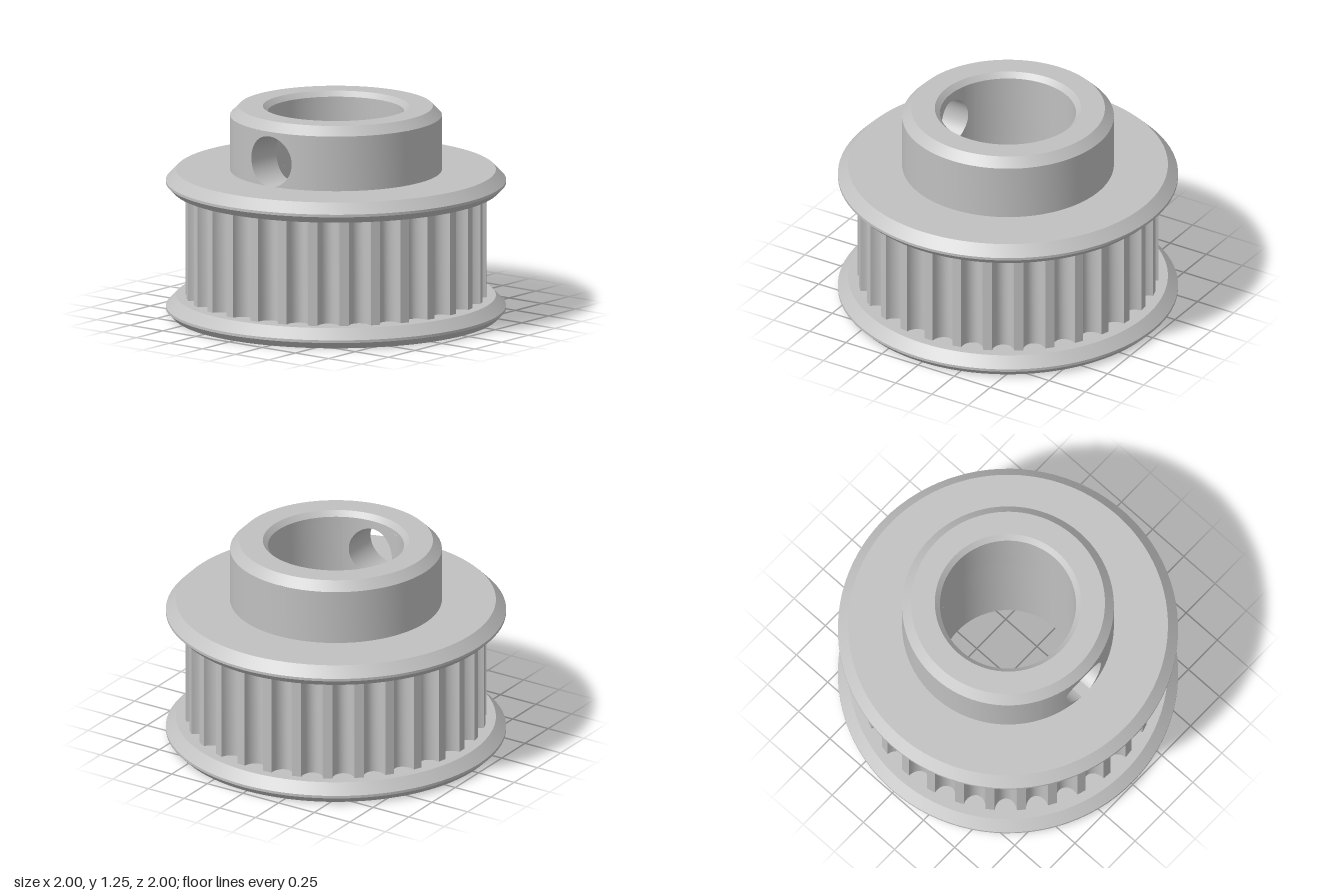
import * as THREE from 'three';
import { toCreasedNormals } from 'three/addons/utils/BufferGeometryUtils.js';
import { ParametricGeometry } from 'three/addons/geometries/ParametricGeometry.js';

const SEG = 96;
const TEETH = 30, TOOTH_R = 0.885, GROOVE_DEPTH = 0.075, LAND_HALF = 0.031;
const HUB_R = 0.6225, BORE_R = 0.4;
// set screw hole: radius, height, and the wall patch that surrounds it
const HOLE_R = 0.152, HOLE_Y = 1.02, PATCH_ANGLE = 0.5, PATCH_H = 0.18;
const PATCH_LOW = HOLE_Y - PATCH_H, PATCH_TOP = HOLE_Y + PATCH_H;

export function createModel() {
  const group = new THREE.Group();
  const steel = new THREE.MeshStandardMaterial({ color: 0xc0c0c0 });
  steel.name = 'steel grey';

  const add = (name, geometry) => {
    const mesh = new THREE.Mesh(geometry, steel);
    mesh.name = name;
    group.add(mesh);
  };
  const lathe = (name, profile, start = 0, length = Math.PI * 2) => {
    const points = profile.map(([r, y]) => new THREE.Vector2(r, y));
    add(name, toCreasedNormals(new THREE.LatheGeometry(points, SEG, start, length), 0.4));
  };

  // Two bevelled flanges
  const flange = (name, y, innerR) => lathe(name, [
    [innerR, y], [0.96, y], [1, y + 0.04], [1, y + 0.056], [0.94, y + 0.117], [0.5, y + 0.117],
  ]);
  flange('bottomFlange', 0, 0.43);
  flange('topFlange', 0.755, 0.5);

  // Toothed drum with rounded grooves
  const pitch = (Math.PI * 2) / TEETH;
  const grooveHalf = pitch / 2 - LAND_HALF;
  const outline = [];
  for (let i = 0; i < TEETH; i++) {
    for (let k = 0; k <= 12; k++) {
      const s = (Math.PI * k) / 12;
      const a = i * pitch - grooveHalf * Math.cos(s);
      const r = TOOTH_R - GROOVE_DEPTH * Math.sin(s);
      outline.push(new THREE.Vector2(r * Math.cos(a), r * Math.sin(a)));
    }
  }
  const drum = new THREE.Shape(outline);
  drum.holes.push(new THREE.Path().absarc(0, 0, 0.55, 0, Math.PI * 2, true));
  const drumGeometry = new THREE.ExtrudeGeometry(drum, { depth: 0.66, bevelEnabled: false, curveSegments: 24 });
  drumGeometry.rotateX(-Math.PI / 2).translate(0, 0.105, 0);
  add('toothedDrum', toCreasedNormals(drumGeometry, 0.55));

  // Chamfered hub top and the bore below the screw hole
  lathe('hubRim', [
    [HUB_R, PATCH_TOP], [0.57, 1.253], [0.43, 1.253], [BORE_R, 1.223], [BORE_R, PATCH_TOP],
  ]);
  lathe('bore', [[BORE_R, PATCH_LOW], [BORE_R, 0.03], [0.43, 0]]);

  // Hub walls, open where the screw hole patch sits
  const start = Math.PI * 1.5 + PATCH_ANGLE, length = Math.PI * 2 - 2 * PATCH_ANGLE;
  lathe('hubOuterWall', [[HUB_R, PATCH_LOW], [HUB_R, PATCH_TOP]], start, length);
  lathe('hubInnerWall', [[BORE_R, PATCH_TOP], [BORE_R, PATCH_LOW]], start, length);

  // Curved wall patch blending from the round hole to a rectangle
  const patch = (name, R, turn) => add(name, new ParametricGeometry((u, v, target) => {
    const a = turn * u * Math.PI * 2, c = Math.cos(a), s = Math.sin(a);
    const square = 1 / Math.max(Math.abs(c), Math.abs(s));
    const phi = THREE.MathUtils.lerp(Math.asin((HOLE_R * c) / R), PATCH_ANGLE * c * square, v);
    const y = HOLE_Y + THREE.MathUtils.lerp(HOLE_R * s, PATCH_H * s * square, v);
    target.set(-R * Math.cos(phi), y, R * Math.sin(phi));
  }, 64, 6));
  patch('screwHoleOuterWall', HUB_R, -1);
  patch('screwHoleInnerWall', BORE_R, 1);

  // Screw hole lining through the hub wall
  add('screwHole', new ParametricGeometry((u, v, target) => {
    const a = u * Math.PI * 2, z = HOLE_R * Math.cos(a);
    const outer = Math.sqrt(HUB_R ** 2 - z * z), inner = Math.sqrt(BORE_R ** 2 - z * z);
    target.set(-THREE.MathUtils.lerp(outer, inner, v), HOLE_Y + HOLE_R * Math.sin(a), z);
  }, 64, 2));

  return group;
}
